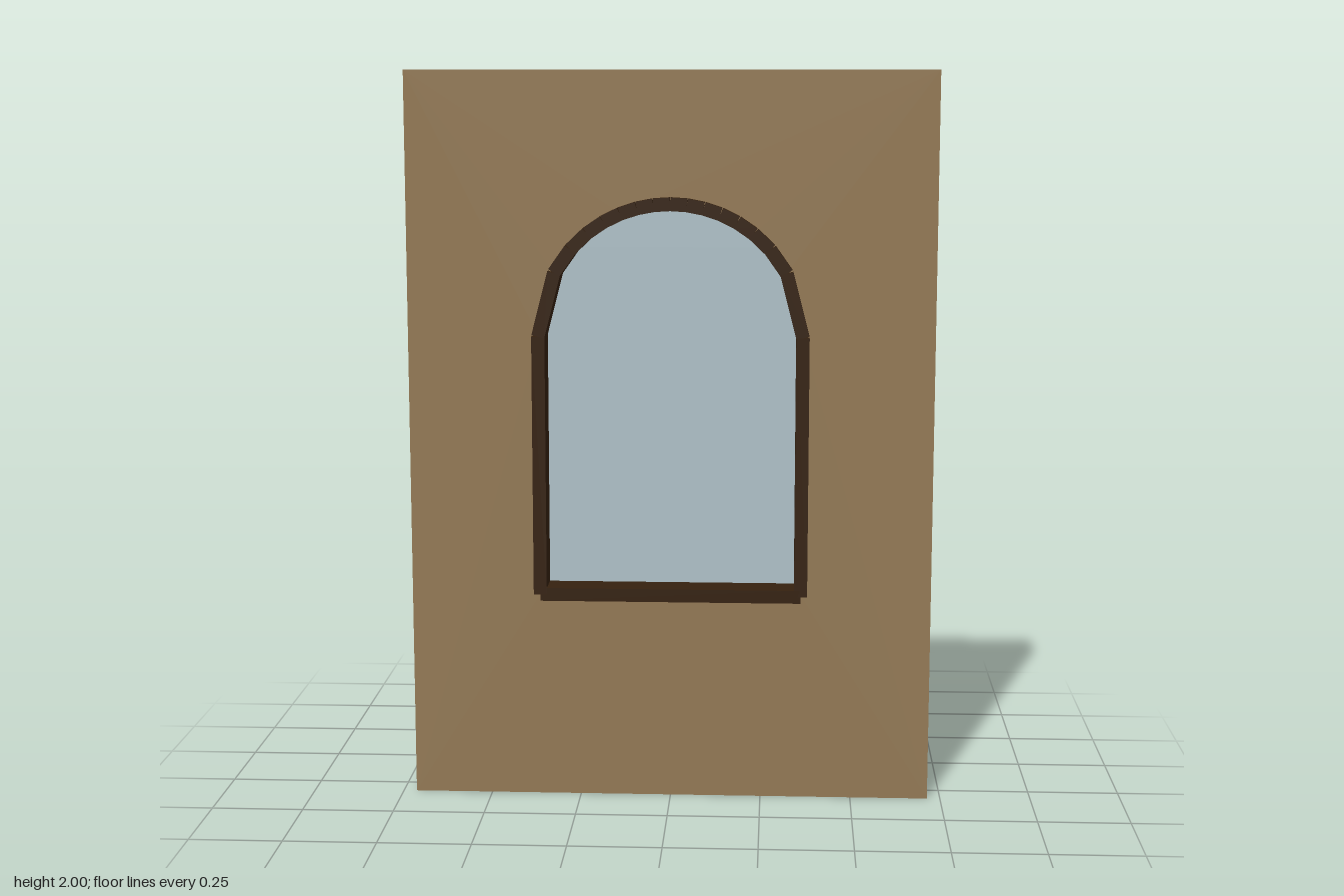
import * as THREE from 'three';

const HALF = 0.3575;   // half width of the opening, also the arch radius
const SILL = 0.575;    // bottom of the opening
const SPRING = 1.288;  // height where the arch starts
const STEPS = 16;      // arch segments, evenly spaced across the width

// Closed outline of the arched opening, counter-clockwise from the lower left
function openingPoints() {
  const pts = [new THREE.Vector2(-HALF, SILL), new THREE.Vector2(HALF, SILL)];
  for (let i = 0; i <= STEPS; i++) {
    const t = 1 - (2 * i) / STEPS;
    pts.push(new THREE.Vector2(HALF * t, SPRING + HALF * Math.sqrt(Math.max(0, 1 - t * t))));
  }
  return pts;
}

export function createModel() {
  const plaster = new THREE.MeshStandardMaterial({ color: 0x937955 });
  plaster.name = 'brown wall';
  const wood = new THREE.MeshStandardMaterial({ color: 0x35210f });
  wood.name = 'dark wood';
  const glass = new THREE.MeshStandardMaterial({ color: 0xafc1c8 });
  glass.name = 'pale glass';

  const model = new THREE.Group();
  model.name = 'archedWindowWall';
  const pts = openingPoints();

  // Wall slab with an arched hole
  const wallShape = new THREE.Shape([
    new THREE.Vector2(-0.714, 0), new THREE.Vector2(0.714, 0),
    new THREE.Vector2(0.714, 2), new THREE.Vector2(-0.714, 2),
  ]);
  wallShape.holes.push(new THREE.Path(pts));
  const wallGeo = new THREE.ExtrudeGeometry(wallShape, { depth: 0.143, bevelEnabled: false });
  wallGeo.translate(0, 0, -0.0715);
  const wall = new THREE.Mesh(wallGeo, plaster);
  wall.name = 'wall';
  model.add(wall);

  // Frame: one straight bar along each edge of the outline
  const frame = new THREE.Group();
  frame.name = 'windowFrame';
  pts.forEach((a, i) => {
    const b = pts[(i + 1) % pts.length];
    const bar = new THREE.Mesh(new THREE.BoxGeometry(a.distanceTo(b), 0.036, 0.186), wood);
    bar.position.set((a.x + b.x) / 2, (a.y + b.y) / 2, 0);
    bar.rotation.z = Math.atan2(b.y - a.y, b.x - a.x);
    bar.name = 'frameBar';
    frame.add(bar);
  });
  model.add(frame);

  // Thin pane in the middle of the wall
  const paneGeo = new THREE.ExtrudeGeometry(new THREE.Shape(pts), { depth: 0.008, bevelEnabled: false });
  paneGeo.translate(0, 0, -0.004);
  const pane = new THREE.Mesh(paneGeo, glass);
  pane.name = 'glassPane';
  model.add(pane);

  return model;
}
